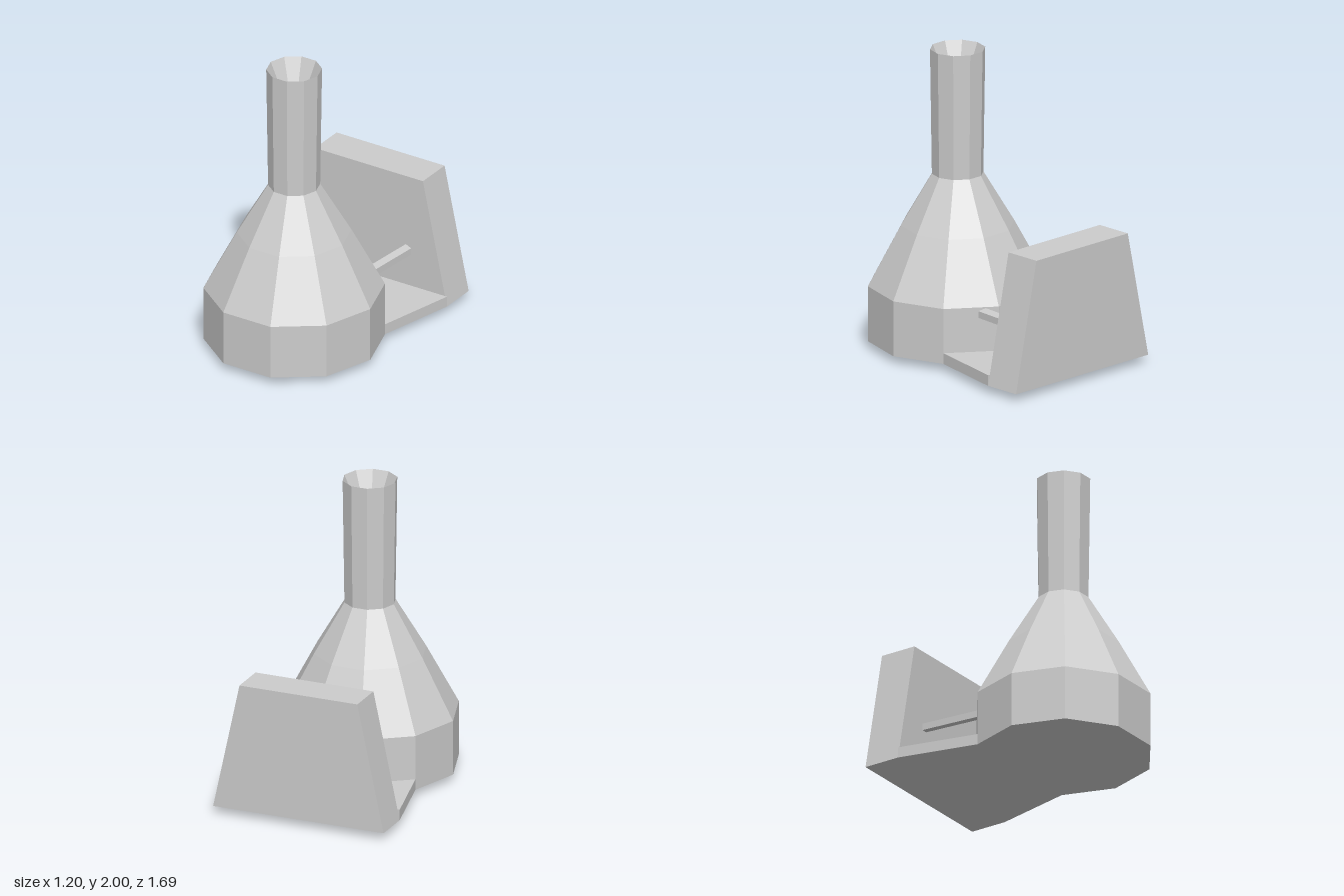
import * as THREE from 'three';

const material = new THREE.MeshStandardMaterial({ color: 0xcccccc, flatShading: true });

const toShape = (points) => new THREE.Shape(points.map(([x, y]) => new THREE.Vector2(x, y)));

const extrude = (points, depth) =>
  new THREE.ExtrudeGeometry(toShape(points), { depth, bevelEnabled: false });

export function createModel() {
  const group = new THREE.Group();
  const add = (name, geometry) => {
    const mesh = new THREE.Mesh(geometry, material);
    mesh.name = name;
    group.add(mesh);
    return mesh;
  };

  // Ten-sided vessel: shallow pointed base, drum, tapering shoulder, chimney, inner funnel
  const profile = [
    [0, 0], [0.585, 0.05], [0.585, 0.42], [0.37, 0.82],
    [0.168, 1.16], [0.18, 2], [0, 1.6],
  ].map(([r, y]) => new THREE.Vector2(r, y));
  add('vessel', new THREE.LatheGeometry(profile, 10, Math.PI / 2)).position.z = 0.29;

  // Flat tray widening from the vessel to the back panel
  const tray = extrude([[-0.6, -0.59], [0.6, -0.59], [0.473, -0.055], [-0.473, -0.055]], 0.072);
  tray.rotateX(Math.PI / 2).translate(0, 0.122, 0);
  add('tray', tray);

  // Thick trapezoid panel standing at the back
  const panel = extrude([[-0.6, 0.05], [0.6, 0.05], [0.415, 0.91], [-0.415, 0.91]], 0.255);
  panel.translate(0, 0, -0.845);
  add('backPanel', panel);

  // Bars joining panel and vessel, converging towards the vessel
  for (const side of [1, -1]) {
    const bar = extrude(
      [[0.325, 0.35], [0.325, 0.395], [0.283, 0.413], [0.283, 0.35]].map(([x, y]) => [side * x, y]),
      0.42,
    );
    const position = bar.attributes.position;
    for (let i = 0; i < position.count; i++) {
      position.setX(i, position.getX(i) - side * 0.09 * position.getZ(i));
    }
    bar.translate(0, 0, -0.59);
    bar.computeVertexNormals();
    add(side > 0 ? 'leftBar' : 'rightBar', bar);
  }

  return group;
}
